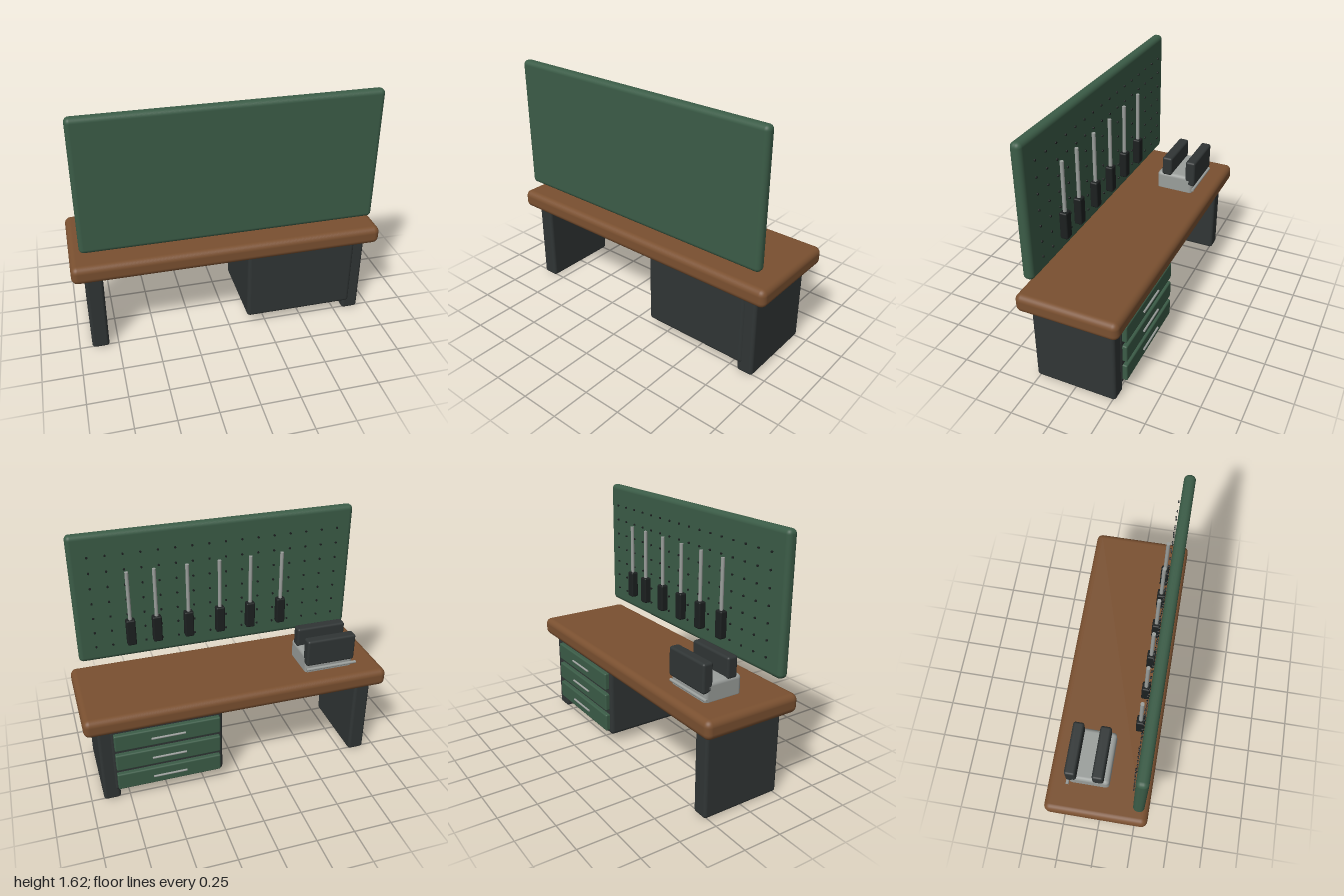
import * as THREE from 'three';
import { RoundedBoxGeometry } from 'three/addons/geometries/RoundedBoxGeometry.js';

const paint = (color) => new THREE.MeshStandardMaterial({ color });

export function createModel() {
  const wood = paint(0x7a5030);
  const green = paint(0x3b5c47);
  const dark = paint(0x303535);
  const black = paint(0x1c2020);
  const steel = paint(0x9a9e9b);

  const bench = new THREE.Group();
  bench.name = 'workbench';

  // Rounded block given by its [min, max] extents on each axis
  function block(parent, name, x, y, z, radius, material) {
    const mesh = new THREE.Mesh(
      new RoundedBoxGeometry(x[1] - x[0], y[1] - y[0], z[1] - z[0], 4, radius), material);
    mesh.position.set((x[0] + x[1]) / 2, (y[0] + y[1]) / 2, (z[0] + z[1]) / 2);
    mesh.name = name;
    parent.add(mesh);
    return mesh;
  }

  // Round bar centred at a point, along the given axis
  function bar(parent, name, radius, length, axis, position, material) {
    const geometry = new THREE.CylinderGeometry(radius, radius, length, 16);
    if (axis === 'x') geometry.rotateZ(Math.PI / 2);
    if (axis === 'z') geometry.rotateX(Math.PI / 2);
    const mesh = new THREE.Mesh(geometry, material);
    mesh.position.set(...position);
    mesh.name = name;
    parent.add(mesh);
    return mesh;
  }

  function group(name) {
    const g = new THREE.Group();
    g.name = name;
    bench.add(g);
    return g;
  }

  // Top and side panels
  block(bench, 'tabletop', [-1, 1], [0.55, 0.67], [-0.33, 0.33], 0.04, wood);
  block(bench, 'rightLeg', [-0.92, -0.81], [0, 0.57], [-0.27, 0.27], 0.02, dark);
  block(bench, 'leftLeg', [0.81, 0.92], [0, 0.57], [-0.27, 0.27], 0.02, dark);

  // Cabinet with three drawers
  const cabinet = group('cabinet');
  block(cabinet, 'cabinetBody', [0.12, 0.85], [0.065, 0.565], [-0.275, 0.28], 0.025, dark);
  for (let i = 0; i < 3; i++) {
    const y = 0.155 + i * 0.152;
    block(cabinet, 'drawerFront', [0.145, 0.825], [y - 0.06, y + 0.06], [-0.305, -0.265], 0.01, green);
    bar(cabinet, 'drawerHandle', 0.007, 0.22, 'x', [0.485, y, -0.312], steel);
  }

  // Pegboard and its grid of holes
  const pegboard = group('pegboard');
  block(pegboard, 'board', [-0.935, 0.935], [0.75, 1.62], [0.228, 0.298], 0.03, green);
  const columns = 16, rows = 7;
  const hole = new THREE.CylinderGeometry(0.007, 0.007, 0.008, 10).rotateX(Math.PI / 2);
  const holes = new THREE.Group();
  holes.name = 'pegHoles';
  pegboard.add(holes);
  for (let c = 0; c < columns; c++) {
    for (let r = 0; r < rows; r++) {
      const peg = new THREE.Mesh(hole, black);
      peg.name = 'pegHole';
      peg.position.set(-0.82 + (1.64 * c) / (columns - 1), 0.86 + 0.1035 * r, 0.217);
      holes.add(peg);
    }
  }

  // Hanging tools: grip below, shaft above
  for (const x of [-0.43, -0.215, -0.005, 0.208, 0.42, 0.592]) {
    const tool = group('hangingTool');
    block(tool, 'toolGrip', [x - 0.03, x + 0.03], [0.858, 1.038], [0.17, 0.221], 0.01, black);
    bar(tool, 'toolShaft', 0.012, 0.35, 'y', [x, 1.193, 0.195], steel);
  }

  // Vise: base, two jaws and the turning bar
  const vise = group('vise');
  block(vise, 'viseBase', [-0.805, -0.47], [0.65, 0.79], [-0.2, 0.06], 0.025, steel);
  block(vise, 'fixedJaw', [-0.805, -0.47], [0.775, 0.91], [-0.046, 0.025], 0.015, dark);
  block(vise, 'movingJaw', [-0.805, -0.47], [0.725, 0.91], [-0.217, -0.147], 0.015, dark);
  bar(vise, 'viseBar', 0.01, 0.35, 'x', [-0.65, 0.695, -0.205], steel);

  return bench;
}
